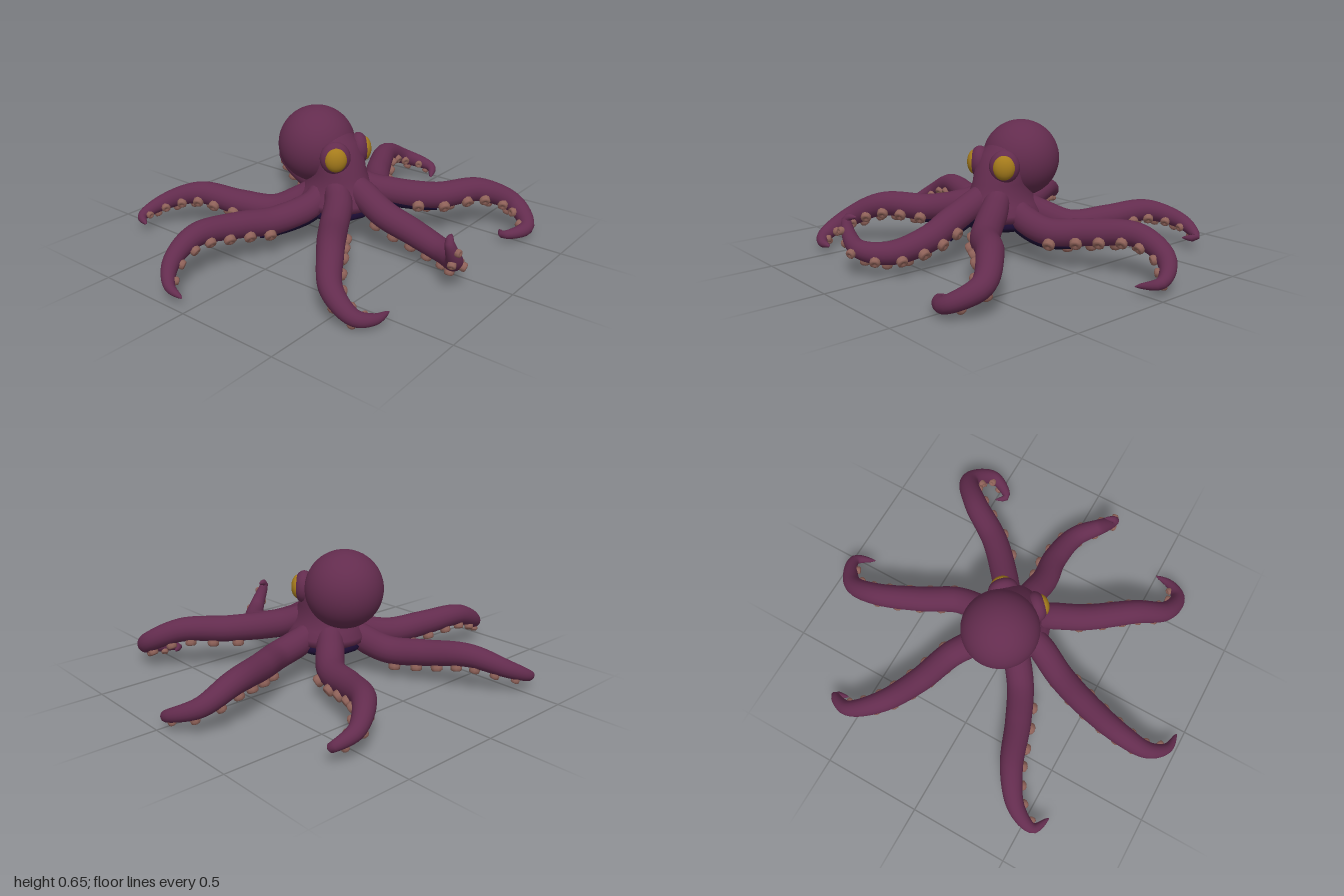
import * as THREE from 'three';

const V3 = (x, y, z) => new THREE.Vector3(x, y, z);
const mat = (name, color) => {
  const m = new THREE.MeshStandardMaterial({ color });
  m.name = name;
  return m;
};

// Smooth skin through closed rings of equal size
function loft(rings) {
  const n = rings[0].length, index = [];
  for (let i = 0; i < rings.length - 1; i++) {
    for (let j = 0; j < n; j++) {
      const a = i * n + j, b = i * n + (j + 1) % n;
      index.push(a, b, a + n, b, b + n, a + n);
    }
  }
  const g = new THREE.BufferGeometry().setFromPoints(rings.flat());
  g.setIndex(index);
  g.computeVertexNormals();
  return g;
}

// Arm thickness: full for the first half, then tapering to a blunt point
const armRadius = t => 0.002 + 0.067 * Math.min(1, 0.85 + t) * Math.pow(1 - Math.pow(t, 2.7), 0.68);

// Heights along the arms, root to tip
const FRONT = [0.3, 0.24, 0.195, 0.197, 0.12, 0.05, 0.032, 0.03];
const SIDE = [0.27, 0.2, 0.155, 0.172, 0.185, 0.12, 0.06, 0.035];
const BACK = [0.26, 0.19, 0.13, 0.14, 0.165, 0.11, 0.06, 0.05];
const RAISED = [0.32, 0.26, 0.19, 0.135, 0.1, 0.13, 0.25, 0.26];

const STEPS = 64;
const SIDES = 18;

// Arm centre line from its plan (x, z pairs) and heights; the root starts inside the neck.
// The sucker-side axis is carried along the curve without twisting.
function armFrames(plan, heights, lean) {
  const points = [];
  for (let i = 0; i < plan.length; i += 2) points.push(V3(plan[i], heights[i / 2 + 1], plan[i + 1]));
  points.unshift(V3(points[0].x * 0.35, heights[0], points[0].z * 0.35));
  const curve = new THREE.CatmullRomCurve3(points, false, 'centripetal');
  const first = curve.getTangentAt(0);
  const V = V3(-first.z, 0, first.x).normalize().multiplyScalar(0.4 * lean).add(V3(0, -1, 0));
  return Array.from({ length: STEPS + 1 }, (_, i) => {
    const t = i / STEPS, T = curve.getTangentAt(t), center = curve.getPointAt(t);
    V.addScaledVector(T, -V.dot(T)).normalize();
    const axis = V.clone(), S = T.clone().cross(axis), r = armRadius(t);
    const dir = a => axis.clone().multiplyScalar(Math.cos(a)).addScaledVector(S, Math.sin(a));
    // Ring of a given radius, shifted towards the sucker side
    const ring = (radius, shift) => Array.from({ length: SIDES }, (_, j) =>
      dir(j / SIDES * Math.PI * 2).multiplyScalar(radius).addScaledVector(axis, shift).add(center));
    return { center, r, dir, ring };
  });
}

export function createModel() {
  const skin = mat('plum skin', 0x632c4e);
  const under = mat('dark underside', 0x1b0c32);
  const pad = mat('sucker pink', 0x8f6259);
  const iris = mat('eye amber', 0xa67c1c);
  const model = new THREE.Group();
  const add = (name, geometry, material, parent = model) => {
    const m = new THREE.Mesh(geometry, material);
    m.name = name;
    parent.add(m);
    return m;
  };

  // Head
  const head = add('head', new THREE.SphereGeometry(0.19, 40, 28), skin);
  head.position.set(0.01, 0.45, -0.108);

  // Neck flaring into the arm roots: [y, centre z, half width, half depth]
  const neckRows = [
    [0.16, 0.02, 0.15, 0.16], [0.18, 0.02, 0.185, 0.2], [0.21, 0.02, 0.185, 0.205], [0.25, 0.025, 0.16, 0.185],
    [0.29, 0.025, 0.14, 0.17], [0.35, 0.02, 0.13, 0.148], [0.42, 0.005, 0.135, 0.145],
    [0.49, -0.03, 0.135, 0.14], [0.55, -0.06, 0.1, 0.1],
  ];
  add('neck', loft(neckRows.map(([y, cz, rx, rz]) => Array.from({ length: 32 }, (_, j) => {
    const a = j / 32 * Math.PI * 2;
    return V3(0.01 + Math.sin(a) * rx, y, cz + Math.cos(a) * rz);
  }))), skin);

  // Eyes in raised sockets
  const ball = new THREE.SphereGeometry(1, 24, 16);
  for (const s of [1, -1]) {
    const eye = new THREE.Group();
    eye.name = s > 0 ? 'leftEye' : 'rightEye';
    eye.position.set(0.01 + s * 0.092, 0.438, 0.08);
    eye.rotation.y = s * Math.PI / 4;
    add('eyeSocket', ball, skin, eye).scale.set(0.074, 0.08, 0.05);
    const globe = add('eyeball', ball, iris, eye);
    globe.scale.set(0.054, 0.061, 0.038);
    globe.position.z = 0.025;
    model.add(eye);
  }

  // Dark mouth under the body
  const mouth = add('mouth', new THREE.SphereGeometry(1, 18, 10), under);
  mouth.scale.set(0.18, 0.05, 0.19);
  mouth.position.set(0.01, 0.155, 0.02);

  // Cupped sucker facing +y
  const cup = new THREE.LatheGeometry([
    [0.9, -0.6], [1, 0.2], [0.95, 0.65], [0.7, 0.85], [0.4, 0.78], [0, 0.6],
  ].map(([x, y]) => new THREE.Vector2(x, y)), 9);

  // One arm: limb, suckers and the dark web beneath; lean is the side its suckers turn to
  function addArm(name, heights, lean, plan) {
    const arm = new THREE.Group();
    arm.name = name;
    const frames = armFrames(plan, heights, lean);
    add('limb', loft(frames.map(f => f.ring(f.r, 0))), skin, arm);

    // Two staggered rows of suckers
    for (let k = 0; k < 14; k++) {
      const f = frames[18 + k * 3], a = (k % 2 ? 1 : -1) * 0.65;
      const sucker = add('sucker', cup, pad, arm);
      sucker.scale.setScalar(0.01 + f.r * 0.3);
      sucker.position.copy(f.center).addScaledVector(f.dir(a), f.r);
      sucker.quaternion.setFromUnitVectors(V3(0, 1, 0), f.dir(a));
    }

    // Dark tapering strip under the arm root
    add('web', loft(frames.slice(6, 24).map((f, i) => {
      const radius = f.r * 0.8 * Math.sqrt(1 - i / 17.5);
      return f.ring(radius, f.r * 1.12 - radius);
    })), under, arm);
    model.add(arm);
  }

  addArm('frontArm', RAISED, -1, [0, 0.18, -0.01, 0.32, 0.01, 0.47, -0.02, 0.66, -0.12, 0.77, -0.18, 0.775, -0.13, 0.755]);
  addArm('frontLeftArm', FRONT, 1, [0.14, 0.18, 0.33, 0.39, 0.53, 0.53, 0.645, 0.67, 0.56, 0.785, 0.445, 0.72, 0.49, 0.675]);
  addArm('frontRightArm', FRONT, -1, [-0.12, 0.13, -0.29, 0.235, -0.5, 0.385, -0.635, 0.5, -0.655, 0.63, -0.59, 0.685, -0.5, 0.695]);
  addArm('leftArm', SIDE, 1, [0.15, 0.02, 0.33, 0.015, 0.5, -0.08, 0.72, -0.175, 0.88, -0.165, 0.965, -0.03, 0.875, 0.03]);
  addArm('rightArm', SIDE, -1, [-0.15, -0.01, -0.32, -0.09, -0.5, -0.16, -0.72, -0.215, -0.87, -0.205, -0.955, -0.13, -0.965, -0.04]);
  addArm('backLeftArm', BACK, 1, [0.12, -0.13, 0.22, -0.25, 0.29, -0.45, 0.39, -0.64, 0.54, -0.745, 0.64, -0.71, 0.58, -0.685]);
  addArm('backRightArm', BACK, -1, [-0.09, -0.12, -0.17, -0.23, -0.25, -0.4, -0.33, -0.61, -0.44, -0.76, -0.555, -0.8, -0.6, -0.72]);
  return model;
}
